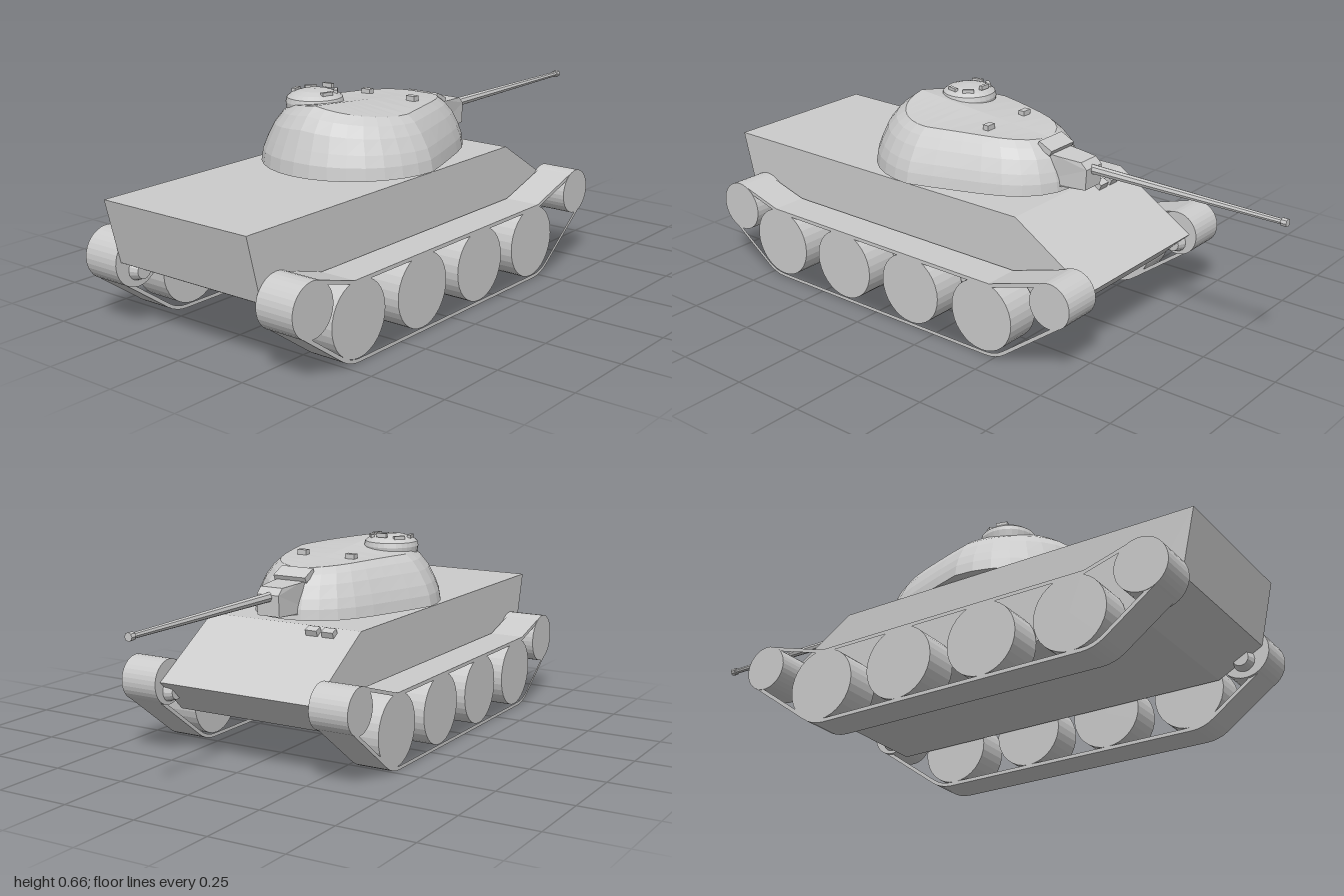
import * as THREE from 'three';

const mat = new THREE.MeshStandardMaterial({ color: 0xcccccc, flatShading: true });
const RAD = Math.PI / 180;

function add(parent, name, geometry, x = 0, y = 0, z = 0) {
  const mesh = new THREE.Mesh(geometry, mat);
  mesh.name = name;
  mesh.position.set(x, y, z);
  parent.add(mesh);
  return mesh;
}

// Extrude a (z, y) side outline across x, centred on x = 0
function sideExtrude(shape, width) {
  const g = new THREE.ExtrudeGeometry(shape, { depth: width, bevelEnabled: false });
  return g.translate(0, 0, -width / 2).rotateY(-Math.PI / 2);
}
const outline = pts => new THREE.Shape(pts.map(p => new THREE.Vector2(p[0], p[1])));

// Cylinder lying along x
const axle = (rOut, rIn, w, seg) =>
  new THREE.CylinderGeometry(rOut, rIn, w, seg).rotateZ(-Math.PI / 2);

const IDLER = [0.887, 0.213, 0.083], SPROCKET = [-0.462, 0.243, 0.073];

// Closed track loop, inset by off
function trackLoop(off) {
  const pts = [];
  const arc = (cz, cy, r, a0, a1, n) => {
    for (let i = 0; i <= n; i++) {
      const a = (a0 + (a1 - a0) * i / n) * RAD;
      pts.push([cz + (r - off) * Math.cos(a), cy + (r - off) * Math.sin(a)]);
    }
  };
  arc(...IDLER, 107, -55, 14);
  arc(0.69, 0.13, 0.13, -55, -90, 4);
  arc(-0.215, 0.13, 0.13, -90, -128, 4);
  arc(...SPROCKET, -128, -288, 14);
  pts.push([-0.23, 0.248 - off], [0.71, 0.248 - off]);
  return pts;
}

function buildRunningGear(side) {
  const g = new THREE.Group();
  g.name = side > 0 ? 'leftRunningGear' : 'rightRunningGear';
  const band = outline(trackLoop(0));
  band.holes.push(outline(trackLoop(0.012)));
  add(g, 'track', sideExtrude(band, 0.121), side * 0.35);
  // Road wheels, staggered between the two sides
  for (let i = 0; i < 4; i++) {
    const z = 0.69 - i * 0.296 - (side > 0 ? 0 : 0.032);
    add(g, 'roadWheel', axle(0.118, 0.118, 0.118, 32), side * 0.35, 0.13, z);
  }
  // End wheels with tapered inner hubs
  for (const [z, y, r] of [IDLER, SPROCKET]) {
    add(g, 'endWheel', axle(r + 0.001, r + 0.001, 0.132, 32), side * 0.346, y, z);
    const hub = side > 0 ? axle(0.036, 0.026, 0.03, 16) : axle(0.026, 0.036, 0.03, 16);
    add(g, 'endWheelHub', hub, side * 0.266, y - 0.028, z);
  }
  return g;
}

// Egg-shaped casting: rings of [half width, rear z, front z, height fraction]
function turretGeometry() {
  const N = 32, midZ = 0.2, y0 = 0.433;
  const rings = [
    [0, 0.505, -0.232, 0], [0.3, 0.505, -0.232, 0], [0.293, 0.5, -0.228, 0.22],
    [0.28, 0.485, -0.217, 0.42], [0.255, 0.465, -0.198, 0.68], [0.23, 0.435, -0.172, 0.87],
    [0.203, 0.4, -0.145, 1], [0, 0.4, -0.145, 1],
  ];
  const pos = [], index = [];
  rings.forEach(([w, rear, front, f], k) => {
    for (let i = 0; i <= N; i++) {
      const a = i / N * Math.PI * 2, c = Math.cos(a), s = Math.abs(Math.sin(a));
      const z = midZ + (c > 0 ? (rear - midZ) * c : (midZ - front) * c);
      const rim = c > 0 ? 0.2 - 0.033 * s : 0.152 + 0.015 * s;
      const spine = 0.152 + 0.048 * (z - front) / (rear - front);
      const pinch = c < 0 ? 1 - 0.12 * Math.sin(Math.PI * -c) : 1;
      pos.push(w * Math.sin(a) * pinch, y0 + (k === rings.length - 1 ? spine : rim * f), z);
    }
  });
  for (let k = 0; k < rings.length - 1; k++) {
    for (let i = 0; i < N; i++) {
      const a = k * (N + 1) + i, b = a + N + 1;
      index.push(a, a + 1, b + 1, a, b + 1, b);
    }
  }
  const g = new THREE.BufferGeometry();
  g.setAttribute('position', new THREE.Float32BufferAttribute(pos, 3));
  g.setIndex(index);
  g.computeVertexNormals();
  return g;
}

function buildCupola() {
  const g = new THREE.Group();
  g.name = 'cupola';
  g.position.set(-0.106, 0, 0.278);
  const profile = [[0.088, 0.585], [0.092, 0.615], [0.088, 0.63], [0.074, 0.641], [0.045, 0.65], [0, 0.654]];
  add(g, 'cupolaDome', new THREE.LatheGeometry(profile.map(p => new THREE.Vector2(...p)), 28));
  // Vision blocks around the gun-facing side
  for (let i = -2; i <= 2; i++) {
    const a = i * 52 * RAD;
    const block = add(g, 'visionBlock', new THREE.BoxGeometry(0.038, 0.014, 0.012),
      Math.sin(a) * 0.066, i === 0 ? 0.654 : 0.645, -Math.cos(a) * 0.066);
    block.rotation.y = -a;
  }
  return g;
}

function buildGun() {
  const g = new THREE.Group();
  g.name = 'gun';
  // Mantlet, narrowing toward the barrel
  const profile = outline([[-0.14, 0.45], [-0.14, 0.555], [-0.22, 0.55], [-0.3, 0.546],
    [-0.322, 0.525], [-0.318, 0.457], [-0.23, 0.452]]);
  const mantlet = sideExtrude(profile, 0.1);
  const p = mantlet.attributes.position;
  for (let i = 0; i < p.count; i++) if (p.getZ(i) < -0.25) p.setX(i, p.getX(i) * 0.8);
  add(g, 'mantlet', mantlet);
  const plate = add(g, 'mantletCover', new THREE.BoxGeometry(0.118, 0.02, 0.055), 0, 0.568, -0.17);
  plate.rotation.x = -0.45;
  const tube = (r0, r1, len) => new THREE.CylinderGeometry(r0, r1, len, 8).rotateX(-Math.PI / 2);
  add(g, 'barrel', tube(0.009, 0.016, 0.69), 0, 0.517, -0.645);
  add(g, 'muzzle', tube(0.013, 0.013, 0.018), 0, 0.517, -0.991);
  return g;
}

export function createModel() {
  const model = new THREE.Group();
  model.name = 'tank';

  // Hull
  add(model, 'hull', sideExtrude(outline([[1, 0.424], [-0.23, 0.424], [-0.51, 0.25],
    [-0.4, 0.142], [0.8, 0.142], [0.95, 0.22]]), 0.562));
  for (const x of [-0.185, -0.127]) {
    const scope = add(model, 'hullPeriscope', new THREE.BoxGeometry(0.042, 0.025, 0.026), x, 0.412, -0.26);
    scope.rotation.x = -0.4;
  }

  for (const side of [1, -1]) model.add(buildRunningGear(side));

  // Turret
  const turret = new THREE.Group();
  turret.name = 'turret';
  add(turret, 'turretRing', new THREE.CylinderGeometry(0.247, 0.247, 0.016, 32), 0, 0.427, 0.19);
  add(turret, 'turretShell', turretGeometry());
  for (const x of [-0.094, 0.09]) {
    add(turret, 'roofPeriscope', new THREE.BoxGeometry(0.034, 0.03, 0.022), x, 0.6, 0.03);
  }
  turret.add(buildCupola(), buildGun());
  model.add(turret);
  return model;
}
